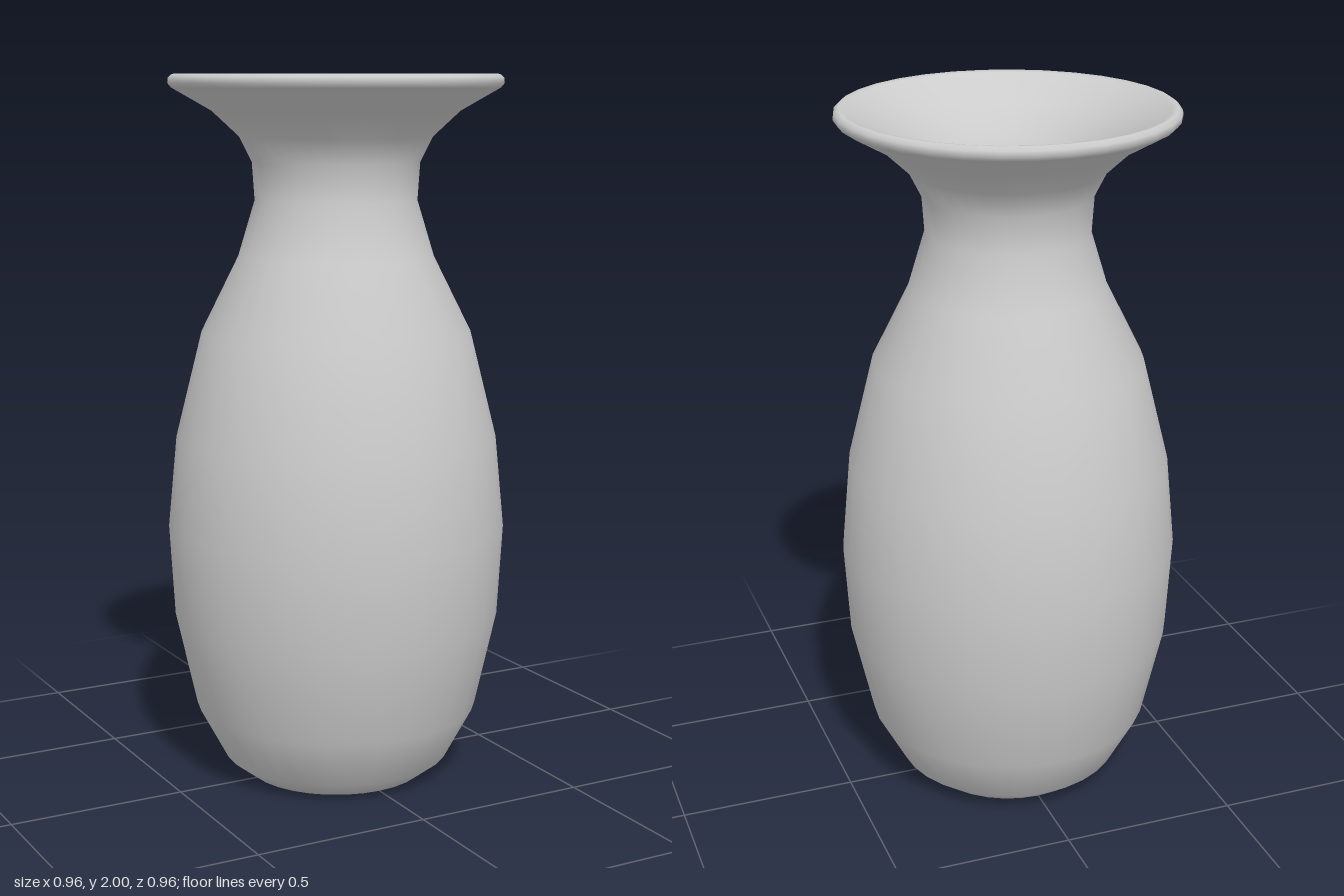
import * as THREE from 'three';

// Outer wall, from the centre of the base up to the lip (radius, height)
const outer = [
  [0, 0], [0.26, 0], [0.325, 0.05], [0.405, 0.2], [0.465, 0.47], [0.48, 0.73],
  [0.455, 0.99], [0.38, 1.29], [0.275, 1.5], [0.228, 1.655], [0.235, 1.76],
  [0.27, 1.83], [0.345, 1.9], [0.455, 1.963],
];
// Rounded rolled lip
const lip = [[0.465, 1.975], [0.464, 1.99], [0.452, 2], [0.435, 1.997]];
// Inner wall, from the lip down to the centre of the floor
const inner = [
  [0.33, 1.93], [0.25, 1.85], [0.21, 1.77], [0.2, 1.66], [0.248, 1.49],
  [0.352, 1.28], [0.425, 0.98], [0.45, 0.73], [0.435, 0.48], [0.377, 0.22],
  [0.305, 0.075], [0.25, 0.03], [0, 0.03],
];

export function createModel() {
  const group = new THREE.Group();
  group.name = 'vase';

  const profile = [...outer, ...lip, ...inner].map(([r, y]) => new THREE.Vector2(r, y));
  const body = new THREE.Mesh(
    new THREE.LatheGeometry(profile, 32),
    new THREE.MeshStandardMaterial({ color: 0xcccccc })
  );
  body.name = 'vaseBody';
  group.add(body);
  return group;
}
